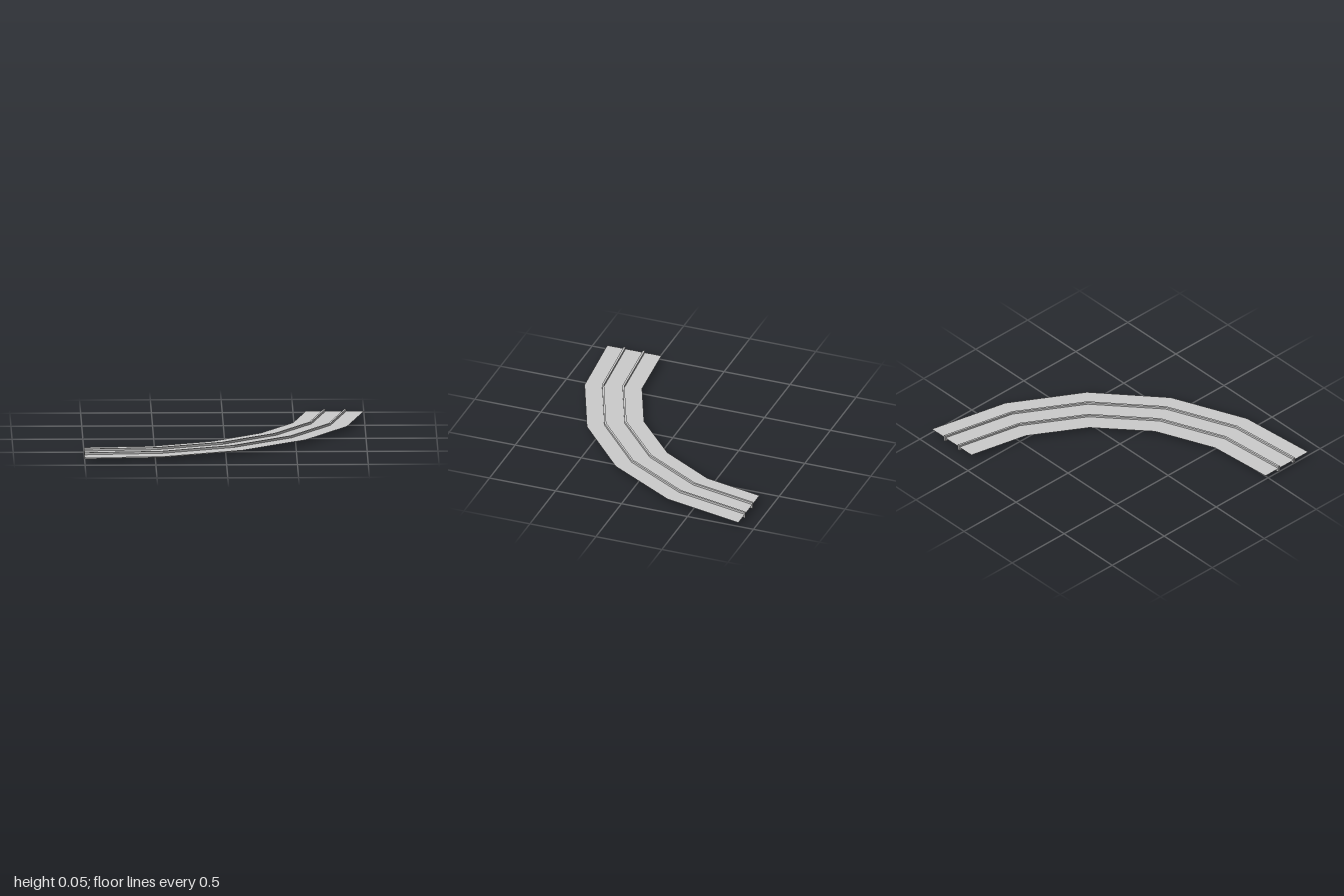
import * as THREE from 'three';

// Inner and outer edge of the curved track, as [x, z] at each joint
const inner = [[-1, 0.475], [-0.52, 0.435], [-0.09, 0.253], [0.257, -0.057], [0.492, -0.45], [0.588, -0.885]];
const outer = [[-1, 0.885], [-0.42, 0.832], [0.123, 0.603], [0.572, 0.21], [0.87, -0.298], [1, -0.885]];
const BED_Y = 0.03;
const RAIL_TOP = 0.045;

// Point at joint i, a fraction f of the way from inner to outer edge
function at(i, f, y) {
  const [a, b] = [inner[i], outer[i]];
  return [a[0] + (b[0] - a[0]) * f, y, a[1] + (b[1] - a[1]) * f];
}

// Sweeps a cross-section of [f, y] points along the track
function sweep(section, closed) {
  const pos = [];
  const quad = (a, b, c, d) => pos.push(...a, ...b, ...c, ...a, ...c, ...d);
  const n = section.length;
  const ring = (i) => section.map(([f, y]) => at(i, f, y));
  for (let i = 0; i < inner.length - 1; i++) {
    const p = ring(i), q = ring(i + 1);
    for (let k = 0; k < (closed ? n : n - 1); k++) {
      const m = (k + 1) % n;
      quad(p[k], p[m], q[m], q[k]);
    }
  }
  if (closed) {
    const s = ring(0), e = ring(inner.length - 1);
    quad(s[3], s[2], s[1], s[0]);
    quad(e[0], e[1], e[2], e[3]);
  }
  const g = new THREE.BufferGeometry();
  g.setAttribute('position', new THREE.Float32BufferAttribute(pos, 3));
  g.computeVertexNormals();
  return g;
}

export function createModel() {
  const group = new THREE.Group();
  group.name = 'curvedTrack';
  const grey = new THREE.MeshStandardMaterial({ color: 0xcccccc, side: THREE.DoubleSide });
  grey.name = 'light grey';

  // Thin flat bed
  const bed = new THREE.Mesh(sweep([[0, BED_Y], [1, BED_Y]], false), grey);
  bed.name = 'trackBed';
  group.add(bed);

  // Two rails passing through the bed
  for (const [name, f0, f1] of [['innerRail', 0.305, 0.34], ['outerRail', 0.66, 0.695]]) {
    const section = [[f0, 0], [f0, RAIL_TOP], [f1, RAIL_TOP], [f1, 0]];
    const rail = new THREE.Mesh(sweep(section, true), grey);
    rail.name = name;
    group.add(rail);
  }
  return group;
}
